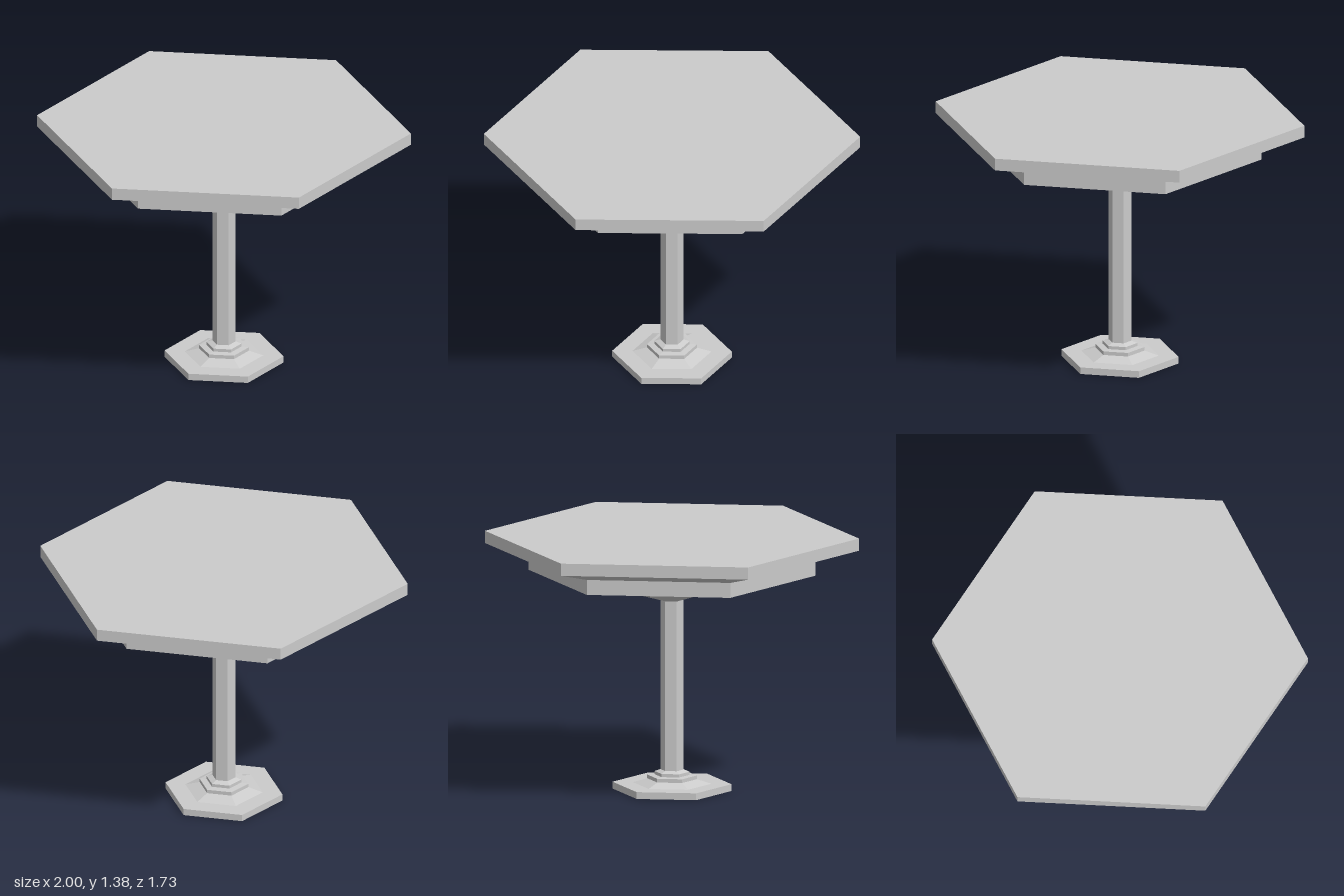
import * as THREE from 'three';

const material = new THREE.MeshStandardMaterial({ color: 0xcccccc, flatShading: true });

// Six-sided turned part with corners on the x axis; profile is [radius, y] from bottom to top
function hexPart(name, profile) {
  const points = profile.map(([r, y]) => new THREE.Vector2(r, y));
  const geometry = new THREE.LatheGeometry(points, 6, Math.PI / 2).toNonIndexed();
  geometry.computeVertexNormals();
  const mesh = new THREE.Mesh(geometry, material);
  mesh.name = name;
  return mesh;
}

export function createModel() {
  const table = new THREE.Group();
  table.name = 'pedestalTable';

  // Foot plate with a sloped rise and two small steps
  table.add(hexPart('base', [
    [0, 0], [0.318, 0], [0.318, 0.037], [0.21, 0.037], [0.133, 0.06], [0.133, 0.08],
    [0.094, 0.083], [0.094, 0.1], [0.062, 0.111], [0, 0.111],
  ]));

  // Slim column
  table.add(hexPart('column', [[0, 0.1], [0.062, 0.1], [0.062, 1.04], [0, 1.04]]));

  // Flared support under the top
  table.add(hexPart('support', [
    [0, 1.03], [0.062, 1.03], [0.33, 1.11], [0.767, 1.175], [0.767, 1.256], [0, 1.256],
  ]));

  // Top slab with a bevelled underside
  table.add(hexPart('tableTop', [
    [0, 1.256], [0.767, 1.256], [1, 1.315], [1, 1.381], [0, 1.381],
  ]));

  return table;
}
